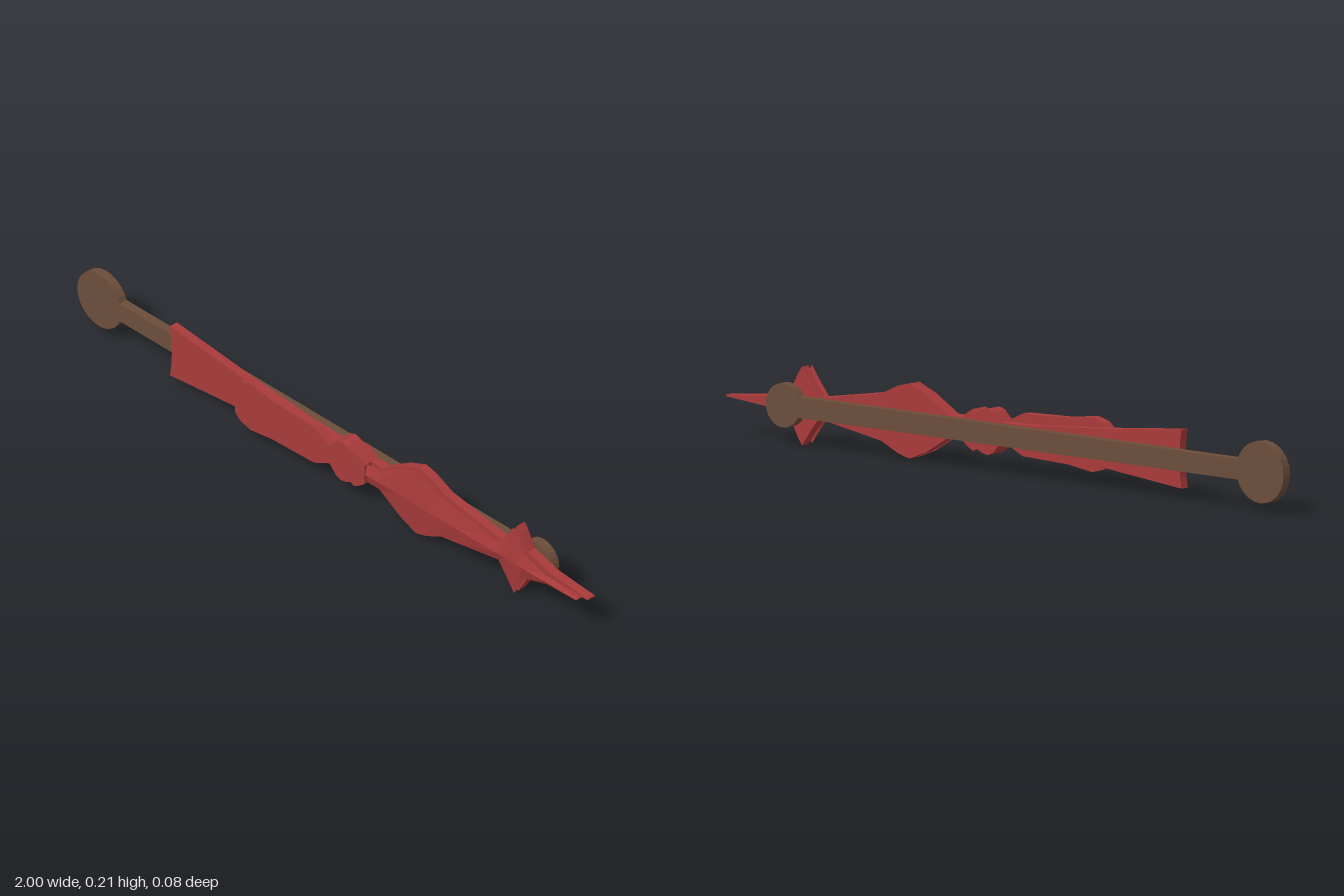
import * as THREE from 'three';

const CY = 0.108; // height of the shared long axis
const red = new THREE.MeshStandardMaterial({ color: 0xa83a3a, flatShading: true });
const brown = new THREE.MeshStandardMaterial({ color: 0x6b4d3a, flatShading: true });

// Ornament shared by both red hands: [x, half height]
const collar = [[0.03, 0.03], [0.055, 0.056], [0.075, 0.063], [0.095, 0.058], [0.11, 0.05],
  [0.125, 0.057], [0.145, 0.045], [0.165, 0.03]];
const blade = [[0.165, 0.03], [0.21, 0.03], [0.29, 0.078], [0.35, 0.102], [0.39, 0.092],
  [0.45, 0.064], [0.5, 0.056], [0.67, 0.028], [0.705, 0.072], [0.73, 0.107], [0.745, 0.085],
  [0.77, 0.04], [0.86, 0.014]];

// Flat plate, symmetric about the axis, from an upper profile
function plate(name, profile, z0, z1, material) {
  const mirrored = profile.slice().reverse().map(([x, h]) => [x, -h]);
  const shape = new THREE.Shape([...profile, ...mirrored].map(([x, y]) => new THREE.Vector2(x, y)));
  const geo = new THREE.ExtrudeGeometry(shape, { depth: z1 - z0, bevelEnabled: false });
  const mesh = new THREE.Mesh(geo, material);
  mesh.name = name;
  mesh.position.set(0, CY, z0);
  return mesh;
}

// Blade with a central ridge front and back, thinning to its edges
function ridgedBlade(name, profile, z0, z1, zEdge, material) {
  const pos = [], index = [];
  profile.forEach(([x, h]) => pos.push(x, h, zEdge, x, 0, z1, x, -h, zEdge, x, 0, z0));
  for (let i = 0; i < profile.length - 1; i++) {
    for (let j = 0; j < 4; j++) {
      const a = i * 4 + j, b = i * 4 + (j + 1) % 4;
      index.push(a, b, a + 4, b, b + 4, a + 4);
    }
  }
  const e = (profile.length - 1) * 4;
  index.push(0, 2, 1, 0, 3, 2, e, e + 1, e + 2, e, e + 2, e + 3);
  const geo = new THREE.BufferGeometry();
  geo.setAttribute('position', new THREE.Float32BufferAttribute(pos, 3));
  geo.setIndex(index);
  geo.computeVertexNormals();
  const mesh = new THREE.Mesh(geo, material);
  mesh.name = name;
  mesh.position.y = CY;
  return mesh;
}

function disc(name, x, radius) {
  const geo = new THREE.CylinderGeometry(radius, radius, 0.027, 24).rotateX(Math.PI / 2);
  const mesh = new THREE.Mesh(geo, brown);
  mesh.name = name;
  mesh.position.set(x, CY, -0.0265);
  return mesh;
}

export function createModel() {
  const model = new THREE.Group();
  model.name = 'clockHands';

  // Rear hand: thin bar with a disc at each end
  const rear = new THREE.Group();
  rear.name = 'rearHand';
  const bar = new THREE.Mesh(new THREE.BoxGeometry(1.68, 0.056, 0.027), brown);
  bar.name = 'rearBar';
  bar.position.set(-0.06, CY, -0.0265);
  rear.add(bar, disc('largeDisc', -0.916, 0.084), disc('smallDisc', 0.775, 0.06));

  // Middle hand: flared tail, collar and flat ornamental blade
  const middle = plate('middleHand', [[-0.607, 0], [-0.61, 0.05], [-0.615, 0.08], [-0.34, 0.053],
    [-0.1, 0.034], ...collar, ...blade.slice(1), [1, 0.002]], -0.013, 0.013, red);

  // Front hand: flat tail and collar continuing into a ridged blade
  const front = new THREE.Group();
  front.name = 'frontHand';
  front.add(
    plate('frontTail', [[-0.336, 0.045], [-0.315, 0.064], [-0.275, 0.075], [-0.19, 0.063],
      [-0.03, 0.058], ...collar], 0.013, 0.04, red),
    ridgedBlade('frontBlade', [...blade, [0.98, 0.002]], 0.013, 0.038, 0.028, red));

  model.add(rear, middle, front);
  return model;
}
